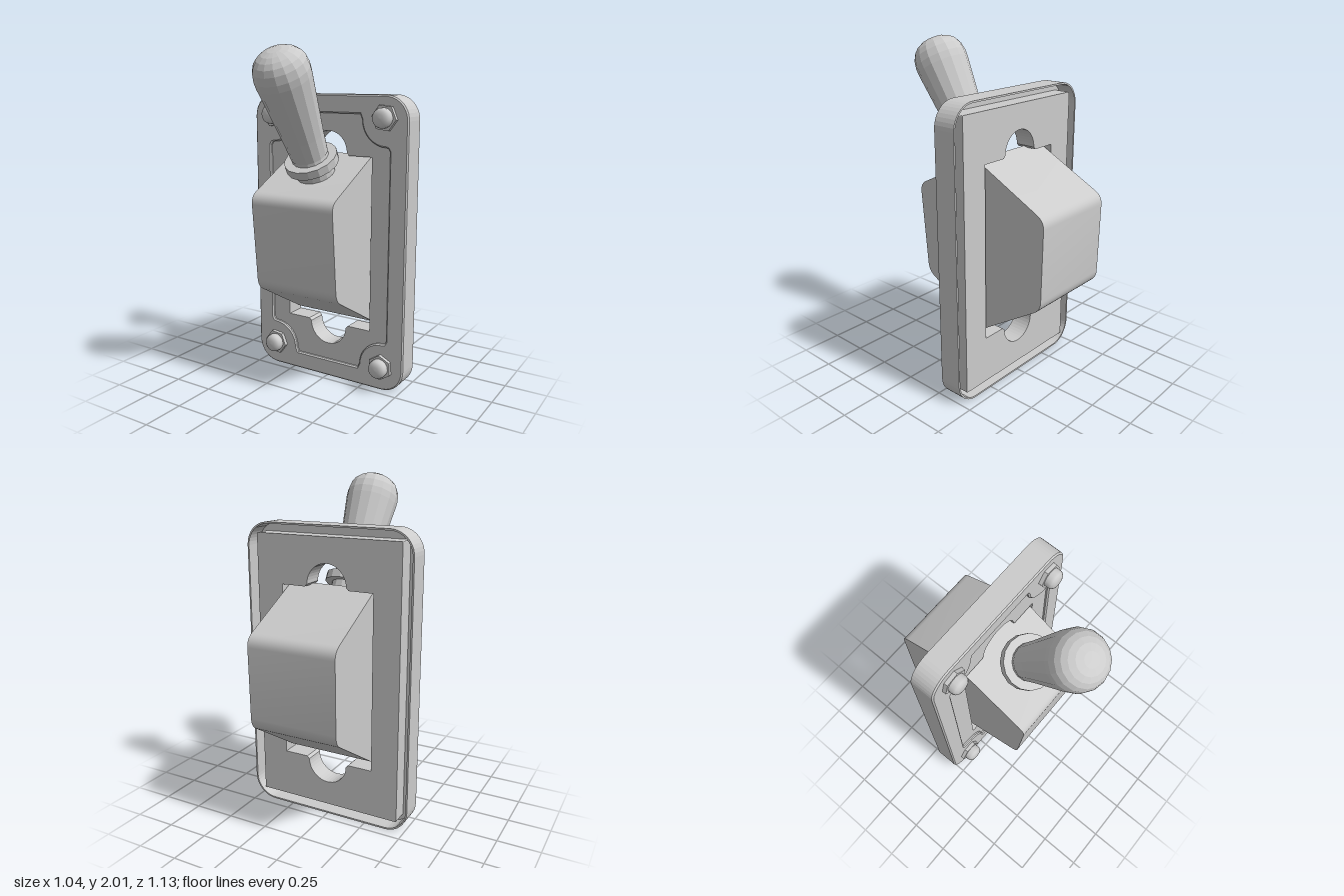
import * as THREE from 'three';
import { toCreasedNormals } from 'three/addons/utils/BufferGeometryUtils.js';

const grey = new THREE.MeshStandardMaterial({ color: 0xcccccc });
const faceted = new THREE.MeshStandardMaterial({ color: 0xcccccc, flatShading: true });

const MID = 0.873; // height of the plate's centre

function add(parent, name, geometry, material = grey) {
  const mesh = new THREE.Mesh(geometry, material);
  mesh.name = name;
  parent.add(mesh);
  return mesh;
}

// Rounded rectangle centred on the plate
function roundedRect(path, w, h, r) {
  const y0 = MID - h, y1 = MID + h;
  path.moveTo(w - r, y0);
  path.absarc(w - r, y0 + r, r, -Math.PI / 2, 0, false);
  path.absarc(w - r, y1 - r, r, 0, Math.PI / 2, false);
  path.absarc(-w + r, y1 - r, r, Math.PI / 2, Math.PI, false);
  path.absarc(-w + r, y0 + r, r, Math.PI, Math.PI * 1.5, false);
  return path;
}

// Opening of the raised frame: a rectangle with a round boss cut into each corner
function frameOpening() {
  const quarter = [[0.41, 0.56], [0.4, 0.578]];
  for (let i = 0; i <= 8; i++) {
    const a = -Math.PI / 2 - (i / 8) * Math.PI / 2;
    quarter.push([0.385 + 0.155 * Math.cos(a), 0.737 + 0.155 * Math.sin(a)]);
  }
  quarter.push([0.218, 0.765]);
  const back = [...quarter].reverse();
  const loop = [
    ...quarter,
    ...back.map(([x, y]) => [-x, y]),
    ...quarter.map(([x, y]) => [-x, -y]),
    ...back.map(([x, y]) => [x, -y]),
  ];
  return new THREE.Path(loop.map(([x, y]) => new THREE.Vector2(x, MID + y)));
}

// Switch window with a round notch at top and bottom
function windowHole() {
  const w = 0.29, h = 0.523, n = 0.14, r = 0.125;
  const p = new THREE.Path();
  p.moveTo(w, MID - h);
  p.lineTo(w, MID + h);
  p.lineTo(n, MID + h);
  p.absarc(0, MID + h + 0.015, r, 0, Math.PI, false);
  p.lineTo(-n, MID + h);
  p.lineTo(-w, MID + h);
  p.lineTo(-w, MID - h);
  p.lineTo(-n, MID - h);
  p.absarc(0, MID - h - 0.015, r, Math.PI, Math.PI * 2, false);
  p.lineTo(n, MID - h);
  p.closePath();
  return p;
}

function buildPlate() {
  const plate = new THREE.Group();
  plate.name = 'coverPlate';

  // Raised front frame with a softened edge
  const frame = roundedRect(new THREE.Shape(), 0.522, 0.873, 0.14);
  frame.holes.push(frameOpening());
  const b = 0.008;
  const frameGeo = new THREE.ExtrudeGeometry(frame, {
    depth: 0.024, curveSegments: 5, bevelEnabled: true,
    bevelSize: b, bevelThickness: b, bevelOffset: -b, bevelSegments: 1,
  });
  add(plate, 'frontFrame', frameGeo.translate(0, 0, -0.077));

  // Thin skirt running back from the frame
  const skirt = roundedRect(new THREE.Shape(), 0.522, 0.873, 0.14);
  skirt.holes.push(roundedRect(new THREE.Path(), 0.512, 0.863, 0.13));
  const skirtGeo = new THREE.ExtrudeGeometry(skirt, { depth: 0.137, curveSegments: 5, bevelEnabled: false });
  add(plate, 'skirt', skirtGeo.translate(0, 0, -0.19));

  // Backing panel behind the frame, pierced by the window
  const panel = roundedRect(new THREE.Shape(), 0.455, 0.81, 0.005);
  panel.holes.push(windowHole());
  const panelGeo = new THREE.ExtrudeGeometry(panel, { depth: 0.125, curveSegments: 10, bevelEnabled: false });
  add(plate, 'backingPanel', panelGeo.translate(0, 0, -0.188));
  return plate;
}

// Six-sided switch body, its four outer corners rounded
function buildBody() {
  const corners = [ // z, y, corner radius
    [0.34, 1.18, 0.05], [-0.11, 1.405, 0], [-0.57, 1.165, 0.05],
    [-0.562, 0.655, 0.05], [-0.14, 0.385, 0], [0.293, 0.632, 0.05],
  ];
  const pts = corners.map(([z, y]) => new THREE.Vector2(z, y));
  const shape = new THREE.Shape();
  corners.forEach(([, , r], i) => {
    const p = pts[i], prev = pts[(i + 5) % 6], next = pts[(i + 1) % 6];
    const a = prev.clone().sub(p).setLength(r).add(p);
    const c = next.clone().sub(p).setLength(r).add(p);
    if (i === 0) shape.moveTo(a.x, a.y); else shape.lineTo(a.x, a.y);
    if (r) shape.quadraticCurveTo(p.x, p.y, c.x, c.y);
  });
  shape.closePath();
  const geo = new THREE.ExtrudeGeometry(shape, { depth: 0.538, curveSegments: 6, bevelEnabled: false });
  geo.translate(0, 0, -0.269).rotateY(-Math.PI / 2).translate(0.003, 0, 0);
  return toCreasedNormals(geo, 0.45);
}

// Tilted toggle lever, built upright around its collar
function buildLever() {
  const lever = new THREE.Group();
  lever.name = 'lever';
  const lathe = (name, profile) => add(lever, name,
    new THREE.LatheGeometry(profile.map(([r, y]) => new THREE.Vector2(r, y)), 16), faceted);
  lathe('stem', [[0, -0.12], [0.113, -0.12], [0.113, -0.02], [0.1, 0.07], [0, 0.07]]);
  lathe('collar', [[0.1, -0.025], [0.155, -0.025], [0.155, 0.025], [0.1, 0.025]]);
  lathe('handle', [
    [0, 0.045], [0.108, 0.045], [0.118, 0.17], [0.155, 0.52], [0.156, 0.56],
    [0.148, 0.605], [0.132, 0.637], [0.108, 0.66], [0.078, 0.677], [0.04, 0.687], [0, 0.689],
  ]);
  lever.position.set(0.01, 1.38, 0.135);
  lever.rotation.x = THREE.MathUtils.degToRad(29.7);
  return lever;
}

// Hex nut with a domed cap, facing forward
function buildBolt(x, y, turn) {
  const bolt = new THREE.Group();
  bolt.name = 'bolt';
  add(bolt, 'nut', new THREE.CylinderGeometry(0.077, 0.077, 0.035, 6).translate(0, 0.0075, 0), faceted);
  const cap = [[0.057, 0.02], [0.057, 0.05], [0.052, 0.064], [0.04, 0.074], [0.022, 0.079], [0, 0.08]];
  add(bolt, 'cap', new THREE.LatheGeometry(cap.map(([r, h]) => new THREE.Vector2(r, h)), 16));
  bolt.rotation.set(Math.PI / 2, turn, 0);
  bolt.position.set(x, y, -0.047);
  return bolt;
}

export function createModel() {
  const model = new THREE.Group();
  model.name = 'toggleSwitch';
  model.add(buildPlate());
  add(model, 'switchBody', buildBody());
  model.add(buildLever());
  let turn = 0.4;
  for (const x of [-0.378, 0.38]) {
    for (const y of [0.15, 1.622]) {
      model.add(buildBolt(x, y, turn));
      turn += 0.35;
    }
  }
  return model;
}
